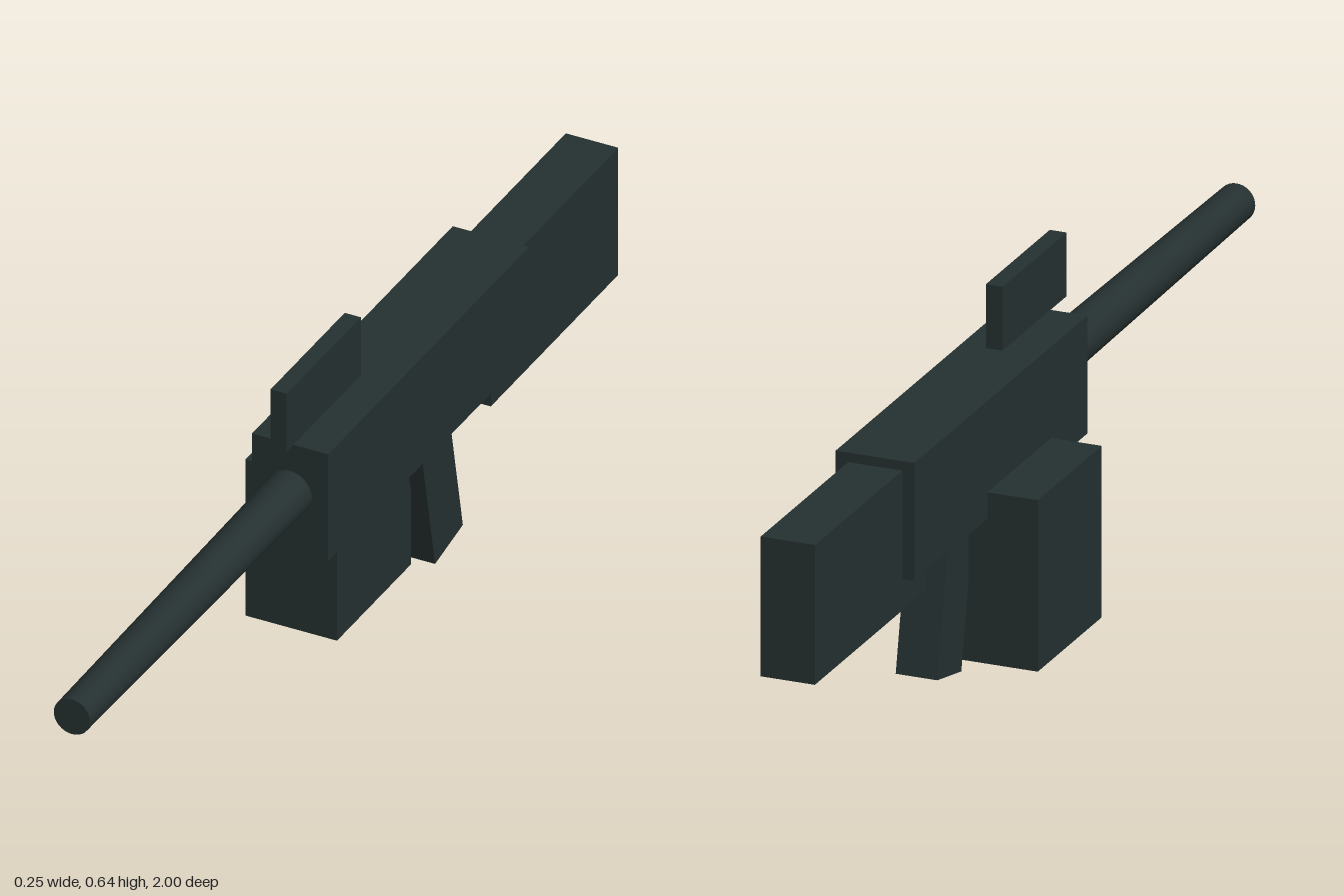
import * as THREE from 'three';

export function createModel() {
  const model = new THREE.Group();
  const gunmetal = new THREE.MeshStandardMaterial({ color: 0x253030 });
  gunmetal.name = 'dark gunmetal';

  const add = (name, geometry, x, y, z) => {
    const mesh = new THREE.Mesh(geometry, gunmetal);
    mesh.name = name;
    mesh.position.set(x, y, z);
    model.add(mesh);
    return mesh;
  };
  // box given by its lower and upper limits on each axis
  const block = (name, [x0, x1], [y0, y1], [z0, z1]) =>
    add(name, new THREE.BoxGeometry(x1 - x0, y1 - y0, z1 - z0),
      (x0 + x1) / 2, (y0 + y1) / 2, (z0 + z1) / 2);

  block('receiver', [-0.028, 0.123], [0.285, 0.508], [-0.61, 0.162]);
  block('stock', [-0.005, 0.099], [0.225, 0.49], [-1, -0.51]);
  block('magazine', [-0.125, 0.057], [0.01, 0.335], [-0.285, 0]);
  block('sight', [0.031, 0.063], [0.52, 0.641], [-0.08, 0.205]);

  // grip, raked back towards the stock
  const grip = add('grip', new THREE.BoxGeometry(0.08, 0.287, 0.109), 0.048, 0.153, -0.342);
  grip.rotation.x = 0.2;

  // barrel, narrowing towards the muzzle
  const barrel = new THREE.CylinderGeometry(0.036, 0.044, 0.86, 32);
  barrel.rotateX(Math.PI / 2);
  add('barrel', barrel, 0.047, 0.408, 0.57);

  return model;
}
